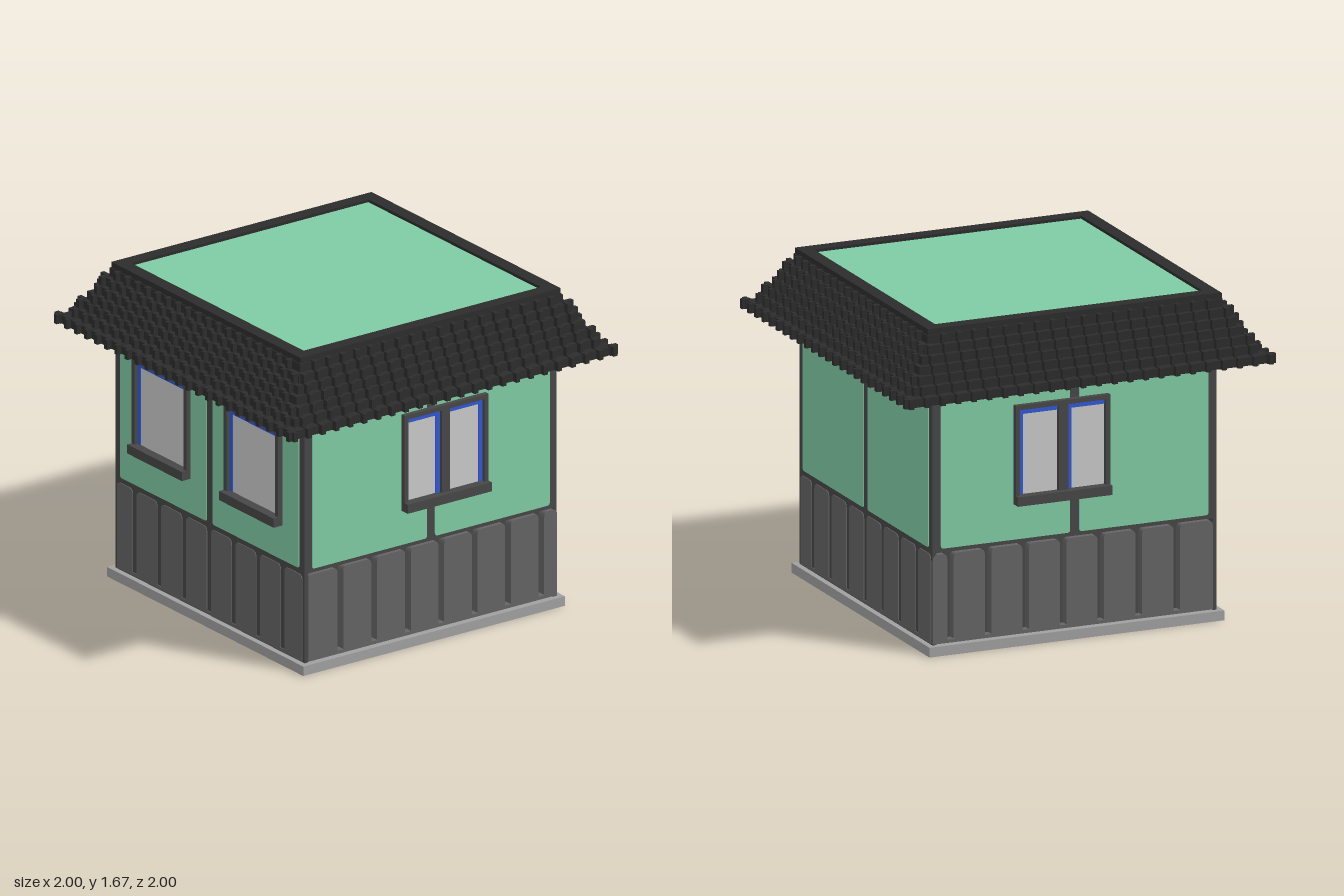
import * as THREE from 'three';
import { mergeGeometries } from 'three/addons/utils/BufferGeometryUtils.js';

const mat = (name, color) => {
  const m = new THREE.MeshStandardMaterial({ color });
  m.name = name;
  return m;
};

// Box given by its min and max corners
function box(x0, x1, y0, y1, z0, z1) {
  return new THREE.BoxGeometry(x1 - x0, y1 - y0, z1 - z0)
    .translate((x0 + x1) / 2, (y0 + y1) / 2, (z0 + z1) / 2);
}

// Rounded plate from z0 to z1; rb is the bottom corner radius
function plate(x0, x1, y0, y1, z0, z1, r, rb = r) {
  const s = new THREE.Shape();
  s.moveTo(x0 + rb, y0);
  s.lineTo(x1 - rb, y0);
  s.quadraticCurveTo(x1, y0, x1, y0 + rb);
  s.lineTo(x1, y1 - r);
  s.quadraticCurveTo(x1, y1, x1 - r, y1);
  s.lineTo(x0 + r, y1);
  s.quadraticCurveTo(x0, y1, x0, y1 - r);
  s.lineTo(x0, y0 + rb);
  s.quadraticCurveTo(x0, y0, x0 + rb, y0);
  return new THREE.ExtrudeGeometry(s, { depth: z1 - z0, bevelEnabled: false, curveSegments: 4 })
    .translate(0, 0, z0);
}

export function createModel() {
  const green = mat('green plaster', 0x7fcba4);
  const timber = mat('dark timber', 0x474747);
  const plank = mat('grey plank', 0x646464);
  const stone = mat('pale stone', 0xa0a0a0);
  const tile = mat('roof tile', 0x2c2c2c);
  const glass = mat('window glass', 0xc9c9c9);
  const blue = mat('blue trim', 0x3258d2);

  const model = new THREE.Group();
  model.name = 'house';
  const add = (parent, name, geos, material) => {
    const list = [].concat(geos);
    const mesh = new THREE.Mesh(list.length > 1 ? mergeGeometries(list) : list[0], material);
    mesh.name = name;
    parent.add(mesh);
  };

  const HX = 0.79, HZ = 0.765, EAVE = 1.335;

  // Foundation and wall core, narrower in x behind the side planks
  add(model, 'foundation', box(-0.82, 0.82, 0, 0.05, -0.795, 0.795), stone);
  add(model, 'wallCore', [
    box(-HX, HX, 0.52, EAVE, -HZ, HZ),
    box(-0.75, 0.75, 0.05, 0.52, -0.745, 0.745),
    box(-HX, HX, 0.05, 0.52, 0.745, HZ),
    box(-HX, HX, 0.05, 0.52, -HZ, -0.745),
  ], timber);

  // Window on a wall at depth d; trims is a list of panes [x0, x1, blueLeft, blueRight]
  function addWindow(parent, x0, x1, d, panes) {
    const w = new THREE.Group();
    w.name = 'window';
    parent.add(w);
    const t = 0.024, out = d + 0.03;
    const bars = [
      box(x0, x0 + t, 0.77, 1.23, d, out),
      box(x1 - t, x1, 0.77, 1.23, d, out),
      box(x0 + t, x1 - t, 1.206, 1.23, d, out),
    ];
    for (let i = 1; i < panes.length; i++)
      bars.push(box(panes[i - 1][1], panes[i][0], 0.77, 1.206, d, out));
    add(w, 'windowFrame', bars, timber);
    add(w, 'windowSill', box(x0, x1, 0.722, 0.77, d, d + 0.057), timber);
    const trims = [];
    for (const [a, b, left, right] of panes) {
      add(w, 'windowPane', box(a, b, 0.77, 1.206, d, d + 0.008), glass);
      trims.push(box(a, b, 1.18, 1.206, d + 0.008, d + 0.012));
      if (left) trims.push(box(a, a + 0.025, 0.77, 1.18, d + 0.008, d + 0.012));
      if (right) trims.push(box(b - 0.025, b, 0.77, 1.18, d + 0.008, d + 0.012));
    }
    add(w, 'windowTrim', trims, blue);
  }

  // Each wall is built facing +z and then turned into place
  function wall(name, angle, half, d) {
    const g = new THREE.Group();
    g.name = name;
    g.rotation.y = angle;
    model.add(g);
    add(g, 'plasterPanels', [-1, 1].map((s) => {
      const a = 0.025, b = half - 0.044;
      return plate(s > 0 ? a : -b, s > 0 ? b : -a, 0.54, 1.285, d, d + 0.004, 0.015);
    }), green);
    return g;
  }

  // Row of planks between slots, joined by a strip at the foot
  function addPlanks(g, edges, z0, z1) {
    const geos = [];
    for (let i = 0; i + 1 < edges.length; i++)
      geos.push(plate(edges[i] + 0.017, edges[i + 1] - 0.017, 0.072, 0.512, z0, z1, 0.03, 0.004));
    geos.push(plate(edges[0] + 0.017, edges[edges.length - 1] - 0.017, 0.055, 0.072, z0, z1, 0.002));
    add(g, 'planks', geos, plank);
  }

  const faceEdges = [-0.79, -0.625, -0.42, -0.213, -0.005, 0.2, 0.405, 0.61, 0.79];
  const front = wall('frontWall', 0, HX, HZ);
  const back = wall('backWall', Math.PI, HX, HZ);
  addPlanks(front, faceEdges, HZ, HZ + 0.004);
  addPlanks(back, faceEdges, HZ, HZ + 0.004);
  for (const c of [-0.385, 0.382])
    addWindow(front, c - 0.228, c + 0.228, HZ, [[c - 0.204, c + 0.204, true, true]]);

  for (const s of [1, -1]) {
    const g = wall(s > 0 ? 'leftWall' : 'rightWall', s * Math.PI / 2, HZ, HX);
    const edges = [-0.762, -0.55, -0.345, -0.14, 0.062, 0.265, 0.467, 0.67, 0.782].map((e) => e * s);
    if (s < 0) edges.reverse();
    addPlanks(g, edges, 0.75, 0.794);
    const panes = [[-0.158, 0.047], [0.097, 0.307]]
      .map(([a, b]) => (s > 0 ? [a, b, false, true] : [-b, -a, true, false]));
    if (s < 0) panes.reverse();
    addWindow(g, s > 0 ? -0.18 : -0.33, s > 0 ? 0.33 : 0.18, HX, panes);
  }

  // Roof: stepped tile courses, each with evenly spaced ribs on all four sides
  const roof = new THREE.Group();
  roof.name = 'roof';
  model.add(roof);
  const reach = [1.0, 0.955, 0.925, 0.902, 0.877, 0.85, 0.823];
  const step = 0.0435, pitch = 0.0843, courses = [], ribs = [];
  reach.forEach((r, i) => {
    const y0 = EAVE + i * step, body = r - 0.027;
    courses.push(box(-body, body, y0, y0 + step, -body, body));
    for (let k = 0; k < 24; k++) {
      const p = (k - 11.5) * pitch;
      if (Math.abs(p) > body) continue;
      for (let q = 0; q < 4; q++)
        ribs.push(box(p - 0.012, p + 0.012, y0, y0 + step + 0.006, body - 0.02, r)
          .rotateY(q * Math.PI / 2));
    }
  });
  add(roof, 'tileCourses', courses, tile);
  add(roof, 'tileRibs', ribs, tile);

  // Raised rim around the flat deck
  const rimY = EAVE + reach.length * step;
  const rim = [];
  for (let q = 0; q < 4; q++)
    rim.push(box(-0.79, 0.72, rimY, 1.67, 0.72, 0.79).rotateY(q * Math.PI / 2));
  add(roof, 'roofRim', rim, tile);
  add(roof, 'roofDeck', box(-0.72, 0.72, rimY, 1.655, -0.72, 0.72), green);

  return model;
}
